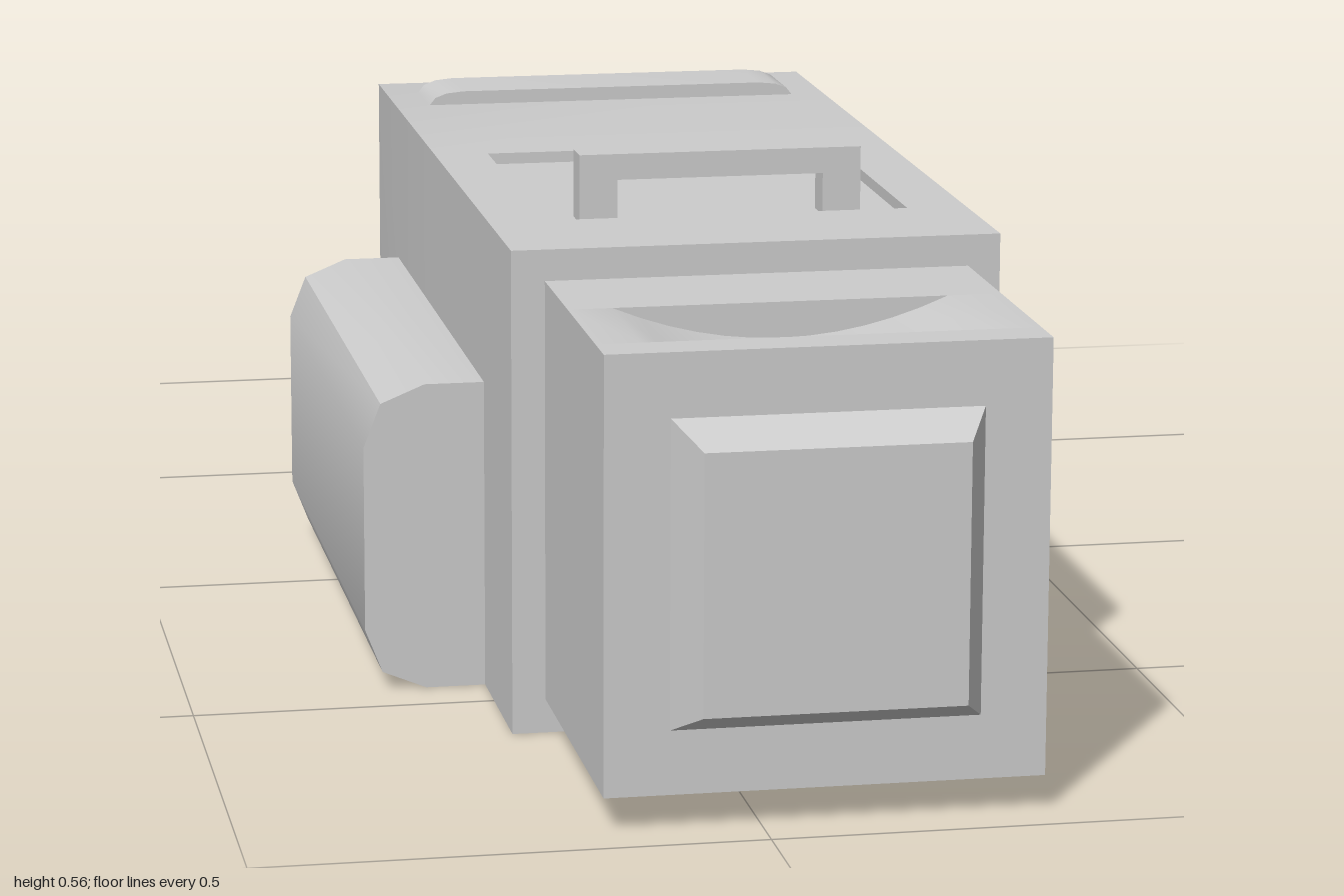
import * as THREE from 'three';
import { toCreasedNormals } from 'three/addons/utils/BufferGeometryUtils.js';

const grey = new THREE.MeshStandardMaterial({ color: 0xcccccc });
grey.name = 'light grey';

function add(parent, name, geometry) {
  const mesh = new THREE.Mesh(geometry, grey);
  mesh.name = name;
  parent.add(mesh);
}

// Extrude an x/y outline from zBack to zFront
function prism(points, zBack, zFront) {
  const shape = new THREE.Shape(points.map(([x, y]) => new THREE.Vector2(x, y)));
  const g = new THREE.ExtrudeGeometry(shape, { depth: zFront - zBack, bevelEnabled: false });
  return toCreasedNormals(g.translate(0, 0, zBack), 0.6);
}

// Skin rings (counter-clockwise seen from +z), ordered from front to back, with end caps
function loft(rings, crease = 0.6) {
  const pos = [];
  const tri = (...corners) => corners.forEach((p) => pos.push(...p));
  const n = rings[0].length;
  for (let i = 0; i < rings.length - 1; i++) {
    for (let j = 0; j < n; j++) {
      const k = (j + 1) % n;
      const a = rings[i][j], b = rings[i][k], c = rings[i + 1][j], d = rings[i + 1][k];
      tri(a, c, b);
      tri(b, c, d);
    }
  }
  const first = rings[0], last = rings[rings.length - 1];
  for (let j = 1; j < n - 1; j++) {
    tri(first[0], first[j], first[j + 1]);
    tri(last[0], last[j + 1], last[j]);
  }
  const g = new THREE.BufferGeometry();
  g.setAttribute('position', new THREE.Float32BufferAttribute(pos, 3));
  return toCreasedNormals(g, crease);
}

const rect = (x0, x1, y0, y1) => [[x0, y0], [x1, y0], [x1, y1], [x0, y1]];
const rectRing = (x0, x1, y0, y1, z, inset = 0) =>
  rect(x0 + inset, x1 - inset, y0 + inset, y1 - inset).map(([x, y]) => [x, y, z]);
const ovalRing = (cx, cy, rx, ry, z, sides = 8) =>
  Array.from({ length: sides }, (_, i) => {
    const t = ((i + 0.5) / sides) * Math.PI * 2;
    return [cx + rx * Math.cos(t), cy + ry * Math.sin(t), z];
  });

export function createModel() {
  const model = new THREE.Group();
  model.name = 'boxCamera';

  // Main body: plain front, a middle with a sunken hatch, rounded rear edges
  const body = new THREE.Group();
  body.name = 'body';
  model.add(body);
  const [x0, x1, top] = [-0.188, 0.312, 0.5];
  add(body, 'bodyFront', prism(rect(x0, x1, 0, top), 0.475, 0.62));
  add(body, 'bodyHatchSection', prism([
    [x0, 0], [x1, 0], [x1, top], [0.25, top], [0.25, 0.488],
    [-0.13, 0.488], [-0.13, top], [x0, top],
  ], 0.1, 0.475));
  add(body, 'bodyRear', loft(
    [[0.1, 0], [-0.358, 0], [-0.368, 0.002], [-0.374, 0.007], [-0.378, 0.018]]
      .map(([z, inset]) => rectRing(x0, x1, 0, top, z, inset))));

  // Front housing with a curved scoop across its top
  const housing = new THREE.Group();
  housing.name = 'frontHousing';
  model.add(housing);
  const [h0, h1, hb, ht] = [-0.154, 0.279, 0.035, 0.468];
  add(housing, 'housingBack', prism(rect(h0, h1, hb, ht), 0.755, 0.62 + 0).translate(0, 0, 0).scale(1, 1, 1) && prism(rect(h0, h1, hb, ht), 0.6, 0.755));
  const scoop = [];
  for (let i = 0; i <= 12; i++) {
    const t = i / 12;
    scoop.push([0.225 - 0.335 * t, ht - 0.036 * (1 - (2 * t - 1) ** 2)]);
  }
  add(housing, 'housingScoop', prism([[h0, hb], [h1, hb], [h1, ht], ...scoop, [h0, ht]], 0.755, 0.91));
  add(housing, 'housingFront', prism(rect(h0, h1, hb, ht), 0.91, 0.955));

  // Bevelled square window
  add(model, 'lensBlock', loft([
    rectRing(-0.09, 0.214, 0.099, 0.404, 1.0, 0.0235),
    rectRing(-0.09, 0.214, 0.099, 0.404, 0.955),
  ], 0.3));

  // Side compartment with chamfered outer edges
  add(model, 'sideCompartment', prism([
    [-0.187, 0], [-0.187, 0.325], [-0.25, 0.325], [-0.296, 0.306],
    [-0.314, 0.26], [-0.314, 0.065], [-0.296, 0.019], [-0.25, 0],
  ], -0.2, 0.44));

  // Carrying handle standing in the hatch
  add(model, 'handle', prism([
    [-0.087, 0.487], [-0.047, 0.487], [-0.047, 0.532], [0.169, 0.532],
    [0.169, 0.487], [0.209, 0.487], [0.209, 0.559], [-0.087, 0.559],
  ], 0.4, 0.436));

  // Raised strip with rounded ends
  add(model, 'topStrip', prism([
    [-0.15, 0.499], [0.275, 0.499], [0.268, 0.508], [0.255, 0.513], [0.235, 0.515],
    [-0.11, 0.515], [-0.13, 0.513], [-0.143, 0.508],
  ], -0.298, -0.208));

  // Rear rod: flared root, narrow middle, slightly thicker rounded end
  // Each row: z, centre y, x radius, y radius
  add(model, 'rearRod', loft([
    [-0.37, 0.252, 0.08, 0.08], [-0.385, 0.252, 0.062, 0.06], [-0.405, 0.252, 0.046, 0.047],
    [-0.445, 0.252, 0.041, 0.043], [-0.65, 0.249, 0.032, 0.035], [-0.92, 0.25, 0.037, 0.036],
    [-0.965, 0.25, 0.034, 0.029], [-0.99, 0.247, 0.023, 0.018], [-1.0, 0.246, 0.012, 0.009],
  ].map(([z, cy, rx, ry]) => ovalRing(0.059, cy, rx, ry, z))));

  return model;
}
